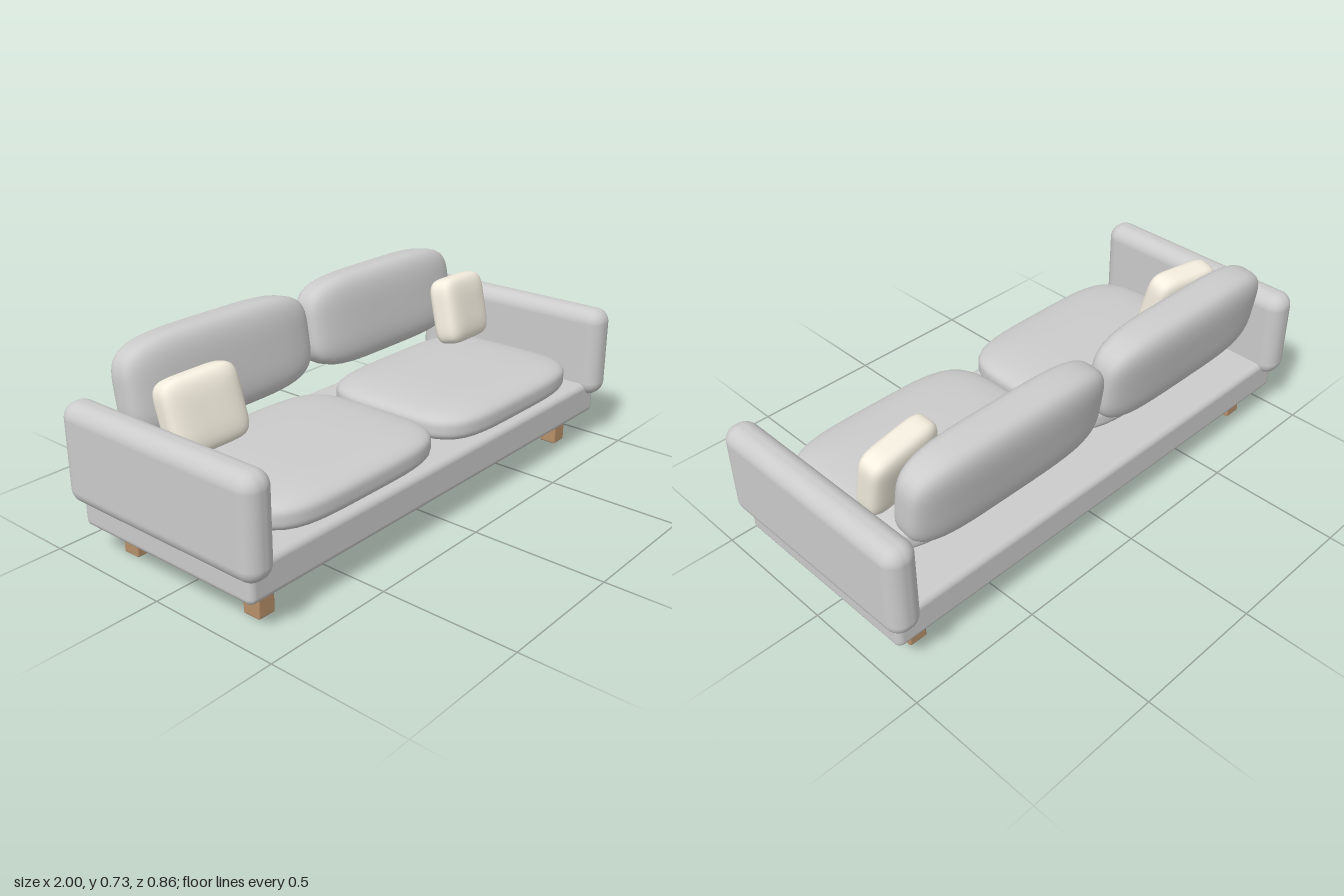
import * as THREE from 'three';
import { RoundedBoxGeometry } from 'three/addons/geometries/RoundedBoxGeometry.js';
import { mergeVertices } from 'three/addons/utils/BufferGeometryUtils.js';

const fabric = new THREE.MeshStandardMaterial({ color: 0xcccccc });
const cream = new THREE.MeshStandardMaterial({ color: 0xf5efe0 });
const wood = new THREE.MeshStandardMaterial({ color: 0xb8906a });

// Stuffed cushion lying in the xy plane: squared-off outline, softly rounded edge.
function cushionGeometry(width, height, depth, outline, edge) {
  const geo = new THREE.SphereGeometry(1, 72, 48);
  geo.rotateX(Math.PI / 2); // poles on the thickness axis
  geo.deleteAttribute('uv');
  geo.deleteAttribute('normal');
  const norm = (a, b, p) => Math.pow(Math.abs(a) ** p + Math.abs(b) ** p, 1 / p);
  const pos = geo.attributes.position;
  for (let i = 0; i < pos.count; i++) {
    const x = pos.getX(i), y = pos.getY(i), z = pos.getZ(i);
    const r = Math.hypot(x, y);
    const profile = 1 / norm(r, z, edge);
    const ring = r > 1e-6 ? profile * r / norm(x, y, outline) : 0;
    pos.setXYZ(i, x * ring * width / 2, y * ring * height / 2, z * profile * depth / 2);
  }
  const merged = mergeVertices(geo, 1e-5);
  merged.computeVertexNormals();
  return merged;
}

export function createModel() {
  const sofa = new THREE.Group();
  sofa.name = 'sofa';

  const add = (name, geometry, material, x, y, z) => {
    const mesh = new THREE.Mesh(geometry, material);
    mesh.name = name;
    mesh.position.set(x, y, z);
    sofa.add(mesh);
    return mesh;
  };

  // Base platform
  add('base', new RoundedBoxGeometry(1.93, 0.137, 0.78, 5, 0.025), fabric, 0, 0.184, 0);

  const armGeo = new RoundedBoxGeometry(0.12, 0.355, 0.864, 8, 0.055);
  const legGeo = new RoundedBoxGeometry(0.07, 0.125, 0.07, 3, 0.007);
  const seatGeo = cushionGeometry(0.835, 0.645, 0.138, 4.5, 3.6);
  seatGeo.rotateX(-Math.PI / 2);
  const backGeo = cushionGeometry(0.835, 0.348, 0.178, 4.2, 3.6);
  const pillowGeo = cushionGeometry(0.292, 0.262, 0.118, 6, 3.8);

  for (const [side, s] of [['left', 1], ['right', -1]]) {
    add(side + 'Arm', armGeo, fabric, s * 0.94, 0.3775, 0);
    add(side + 'SeatCushion', seatGeo, fabric, s * 0.426, 0.316, 0.073);

    // Back cushion leans backwards
    const back = add(side + 'BackCushion', backGeo, fabric, s * 0.426, 0.556, -0.303);
    back.rotation.x = -0.15;

    // Throw pillow leans back, turned and tipped towards the arm
    const pillow = add(side + 'ThrowPillow', pillowGeo, cream, s * 0.69, 0.522, -0.094);
    pillow.rotation.set(-0.24, s * 0.13, s * -0.07, 'YXZ');

    add(side + 'FrontLeg', legGeo, wood, s * 0.835, 0.0625, 0.285);
    add(side + 'BackLeg', legGeo, wood, s * 0.835, 0.0625, -0.285);
  }
  return sofa;
}
